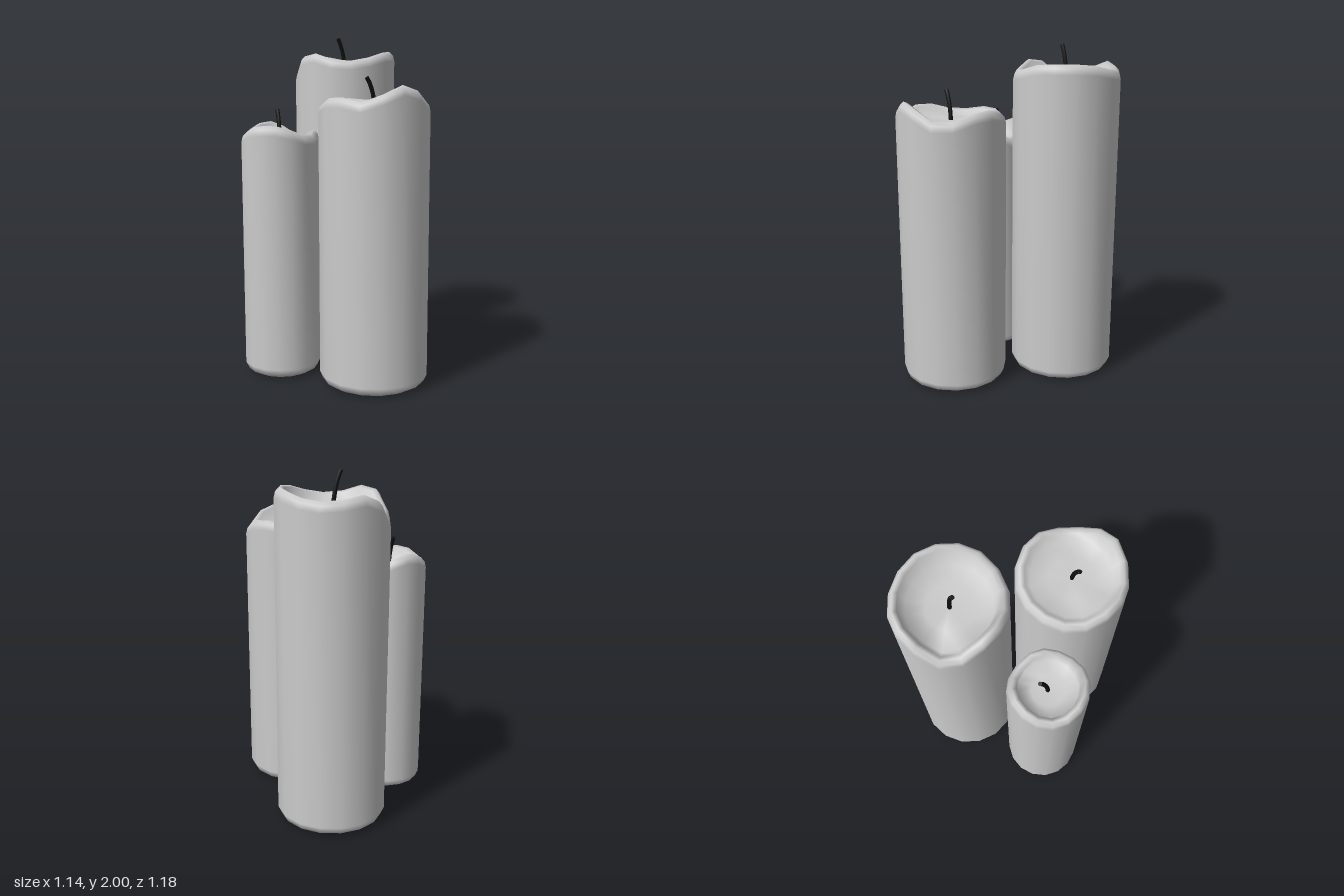
import * as THREE from 'three';

const SIDES = 16;
const wax = new THREE.MeshStandardMaterial({ color: 0xcccccc });
const black = new THREE.MeshStandardMaterial({ color: 0x111111 });

// rim: melted edge height at each side, counted from +x towards +z
const candles = [
  {
    name: 'tallCandle', x: 0.257, z: -0.275, r: 0.315, turn: 0, floor: 1.77,
    rim: [1.875, 1.9, 1.91, 1.91, 1.9, 1.87, 1.85, 1.86, 1.895, 1.88, 1.79, 1.75, 1.85, 1.89, 1.87, 1.86],
    tip: [-0.05, 1.992, -0.018],
  },
  {
    name: 'frontCandle', x: -0.157, z: 0.271, r: 0.315, turn: 0, floor: 1.585,
    rim: [1.67, 1.66, 1.62, 1.62, 1.68, 1.71, 1.66, 1.62, 1.645, 1.64, 1.61, 1.61, 1.63, 1.63, 1.62, 1.65],
    tip: [-0.05, 1.75, -0.018],
  },
  {
    name: 'smallCandle', x: -0.345, z: -0.28, r: 0.228, turn: 0.14, floor: 1.365,
    rim: [1.4, 1.44, 1.45, 1.43, 1.43, 1.46, 1.48, 1.48, 1.47, 1.44, 1.43, 1.45, 1.48, 1.49, 1.46, 1.41],
    tip: [0.028, 1.565, -0.046],
  },
];

// Cross-section of one side, from the base over the rim into the melted pool
function section(r, h, floor) {
  const pool = Math.min(floor + 0.015, h - 0.035);
  return [
    [r - 0.055, 0], [r - 0.018, 0.02], [r, 0.06],
    [r, h - 0.055], [r - 0.008, h - 0.022], [r - 0.03, h], [r - 0.055, h - 0.01],
    [r * 0.73, pool], [r * 0.4, floor], [0.001, floor],
  ];
}

function waxGeometry({ r, rim, floor, turn }) {
  const positions = [], index = [];
  const rows = section(r, 1, 0).length;
  for (let i = 0; i < SIDES; i++) {
    const a = (i / SIDES) * Math.PI * 2 + turn;
    for (const [radius, y] of section(r, rim[i], floor)) {
      positions.push(radius * Math.cos(a), y, radius * Math.sin(a));
    }
    for (let j = 0; j < rows - 1; j++) {
      const p = i * rows + j, q = ((i + 1) % SIDES) * rows + j;
      index.push(p, p + 1, q + 1, p, q + 1, q);
    }
  }
  const geometry = new THREE.BufferGeometry();
  geometry.setAttribute('position', new THREE.Float32BufferAttribute(positions, 3));
  geometry.setIndex(index);
  geometry.computeVertexNormals();
  return geometry;
}

function addMesh(group, name, geometry, material) {
  const mesh = new THREE.Mesh(geometry, material);
  mesh.name = name;
  group.add(mesh);
  return mesh;
}

function createCandle(c) {
  const candle = new THREE.Group();
  candle.name = c.name;
  candle.position.set(c.x, 0, c.z);

  addMesh(candle, 'waxBody', waxGeometry(c), wax);

  // Flat underside
  const base = addMesh(candle, 'base', new THREE.CircleGeometry(c.r - 0.055, SIDES), wax);
  base.rotation.set(Math.PI / 2, 0, c.turn);

  // Wick: rises straight, then bends towards its tip
  const [tx, ty, tz] = c.tip;
  const curve = new THREE.QuadraticBezierCurve3(
    new THREE.Vector3(0, c.floor - 0.02, 0),
    new THREE.Vector3(tx * 0.1, c.floor + (ty - c.floor) * 0.6, tz * 0.1),
    new THREE.Vector3(tx, ty, tz),
  );
  addMesh(candle, 'wick', new THREE.TubeGeometry(curve, 6, 0.012, 8), black);
  const cap = addMesh(candle, 'wickTip', new THREE.CircleGeometry(0.012, 8), black);
  cap.position.set(tx, ty, tz);
  cap.quaternion.setFromUnitVectors(new THREE.Vector3(0, 0, 1), curve.getTangent(1));
  return candle;
}

export function createModel() {
  const model = new THREE.Group();
  model.name = 'candles';
  for (const c of candles) model.add(createCandle(c));
  return model;
}
